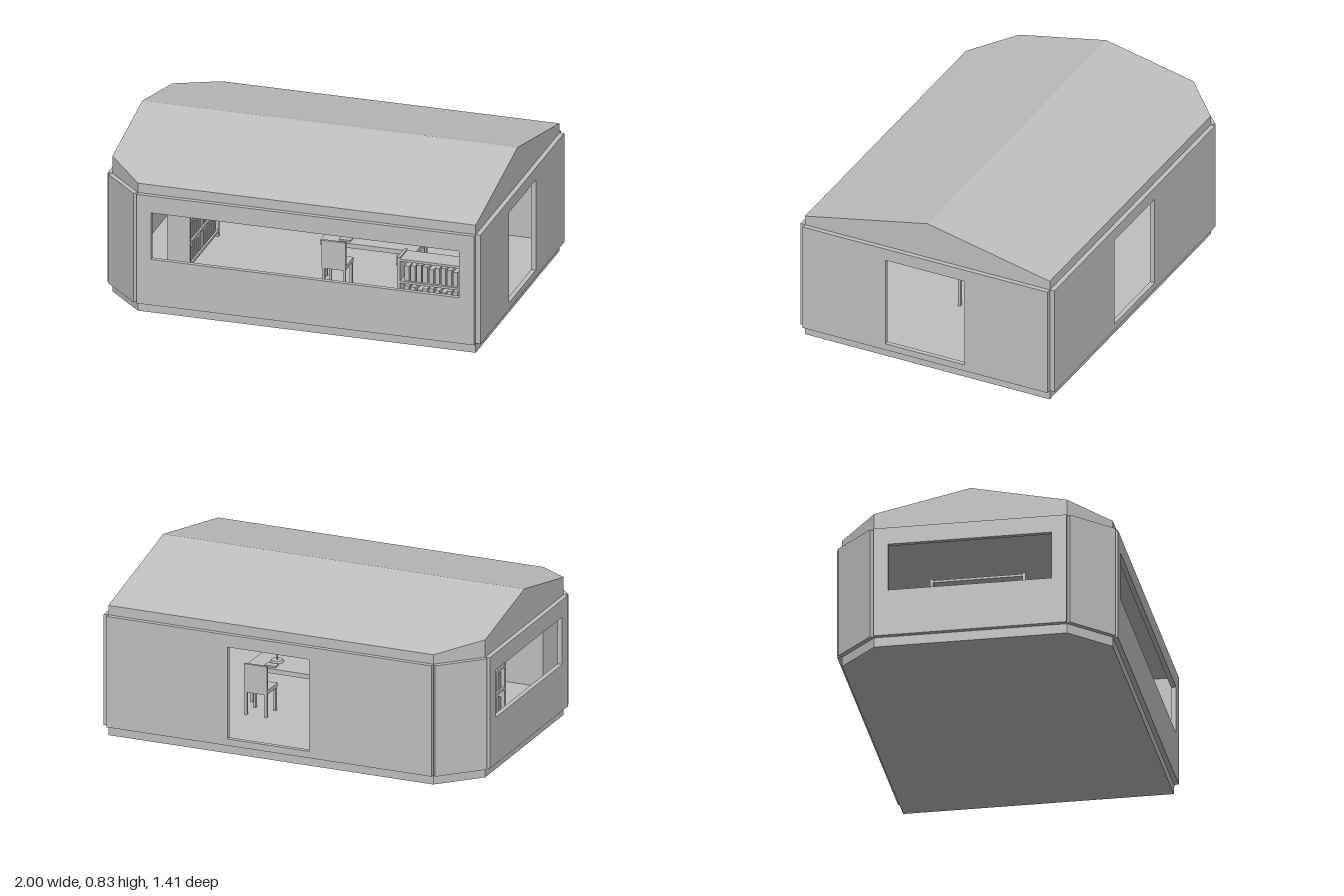
import * as THREE from 'three';

const T = 0.025; // wall thickness
const FLOOR = 0.05, EAVE = 0.635;

export function createModel() {
  const model = new THREE.Group();
  const grey = new THREE.MeshStandardMaterial({ color: 0xbfbfbf });
  grey.name = 'plain grey';

  const add = (parent, name, geo, x = 0, y = 0, z = 0) => {
    const mesh = new THREE.Mesh(geo, grey);
    mesh.name = name;
    mesh.position.set(x, y, z);
    parent.add(mesh);
    return mesh;
  };
  const box = (parent, name, w, h, d, x, y, z) =>
    add(parent, name, new THREE.BoxGeometry(w, h, d), x, y, z);
  const group = (name, x = 0, y = 0, z = 0, turn = 0) => {
    const g = new THREE.Group();
    g.name = name;
    g.position.set(x, y, z);
    g.rotation.y = turn;
    model.add(g);
    return g;
  };
  const polygon = (pts) => new THREE.Shape(pts.map((p) => new THREE.Vector2(...p)));
  const rect = (x0, x1, y0, y1) => [[x0, y0], [x1, y0], [x1, y1], [x0, y1]];

  // Floor slab with two cut corners
  const outline = [[-0.975, -0.485], [-0.78, -0.68], [0.975, -0.68],
    [0.975, 0.68], [-0.78, 0.68], [-0.975, 0.485]];
  const slab = new THREE.ExtrudeGeometry(polygon(outline), { depth: FLOOR, bevelEnabled: false });
  add(model, 'floor', slab.rotateX(-Math.PI / 2));

  // Gable roof: each half is a slab whose top slopes up to the ridge
  for (const s of [1, -1]) {
    const half = [[-0.975, 0], [0.975, 0], [0.975, s * 0.68], [-0.78, s * 0.68], [-0.975, s * 0.485]];
    const geo = new THREE.ExtrudeGeometry(polygon(half), { depth: 0.05, bevelEnabled: false });
    geo.rotateX(-Math.PI / 2);
    const p = geo.attributes.position;
    for (let i = 0; i < p.count; i++) {
      if (p.getY(i) > 0.02) p.setY(i, 0.05 + 0.145 * (1 - Math.abs(p.getZ(i)) / 0.68));
    }
    geo.computeVertexNormals();
    add(model, s > 0 ? 'backRoof' : 'frontRoof', geo, 0, EAVE, 0);
  }

  // Wall panels, each with an optional opening, extruded outward
  const wall = (name, x0, x1, hole, x, z, turn) => {
    const shape = polygon(rect(x0, x1, FLOOR, EAVE));
    if (hole) shape.holes.push(new THREE.Path(polygon(rect(...hole)).getPoints()));
    const geo = new THREE.ExtrudeGeometry(shape, { depth: T, bevelEnabled: false });
    add(model, name, geo, x, 0, z).rotation.y = turn;
  };
  wall('frontWall', -0.78, 0.975, [-0.705, 0.895, 0.295, 0.545], 0, 0.68, 0);
  wall('backWall', -0.975, 0.78, [-0.32, 0.12, 0.085, 0.57], 0, -0.68, Math.PI);
  wall('doorEndWall', -0.68, 0.68, [-0.22, 0.22, 0.085, 0.57], 0.975, 0, Math.PI / 2);
  wall('windowEndWall', -0.485, 0.485, [-0.41, 0.41, 0.295, 0.545], -0.975, 0, -Math.PI / 2);
  wall('frontCornerWall', -0.138, 0.138, null, -0.8775, 0.5825, -Math.PI / 4);
  wall('backCornerWall', -0.138, 0.138, null, -0.8775, -0.5825, -3 * Math.PI / 4);

  // Open bookcase with three rows of books
  const bookcase = (name, length, x, z, turn) => {
    const g = group(name, x, FLOOR, z, turn);
    for (const s of [-1, 1]) {
      box(g, 'sidePanel', 0.015, 0.395, 0.12, s * (length / 2 - 0.0075), 0.1975, 0);
    }
    for (let row = 0; row < 4; row++) {
      const y = 0.03 + row * 0.117;
      box(g, 'shelf', length - 0.03, 0.012, 0.12, 0, y, 0);
      if (row === 3) continue;
      const count = Math.floor((length - 0.04) / 0.0315);
      for (let i = 0; i < count; i++) {
        const h = 0.075 + 0.016 * Math.abs(Math.sin(i * 2.3 + row * 1.7));
        box(g, 'book', 0.024, h, 0.1, (i - (count - 1) / 2) * 0.0315, y + 0.006 + h / 2, 0);
      }
    }
  };
  bookcase('endBookcase', 0.48, -0.71, 0, Math.PI / 2);
  bookcase('frontBookcase', 0.41, 0.76, 0.585, 0);

  // Reading table
  const table = group('table', 0.2325, 0, 0);
  box(table, 'tableTop', 0.5, 0.024, 0.22, 0, 0.237, 0);
  for (const x of [-0.225, 0.225]) {
    for (const z of [-0.083, 0.083]) box(table, 'tableLeg', 0.014, 0.175, 0.014, x, 0.1375, z);
  }

  // Two desk lamps, each with an open book
  for (const x of [0.105, 0.36]) {
    const lamp = group('lamp', x, 0.249, 0);
    add(lamp, 'lampBase', new THREE.CylinderGeometry(0.03, 0.035, 0.01, 16), 0, 0.005, 0);
    add(lamp, 'lampStem', new THREE.CylinderGeometry(0.004, 0.004, 0.09, 8), 0, 0.055, 0);
    add(lamp, 'lampShade', new THREE.CylinderGeometry(0.024, 0.047, 0.03, 16), 0, 0.109, 0);
    box(lamp, 'openBook', 0.06, 0.008, 0.04, 0, 0.004, x < 0.2 ? 0.07 : -0.07);
  }

  // Chairs on opposite sides of the table, backs outward
  for (const [x, s] of [[0.105, 1], [0.36, -1]]) {
    const chair = group('chair', x, 0, s * 0.205, s > 0 ? 0 : Math.PI);
    box(chair, 'seat', 0.125, 0.022, 0.13, 0, 0.182, 0);
    box(chair, 'chairBack', 0.125, 0.15, 0.014, 0, 0.245, 0.058);
    for (const lx of [-0.054, 0.054]) {
      for (const lz of [-0.055, 0.055]) box(chair, 'chairLeg', 0.013, 0.121, 0.013, lx, 0.1105, lz);
    }
  }

  return model;
}
